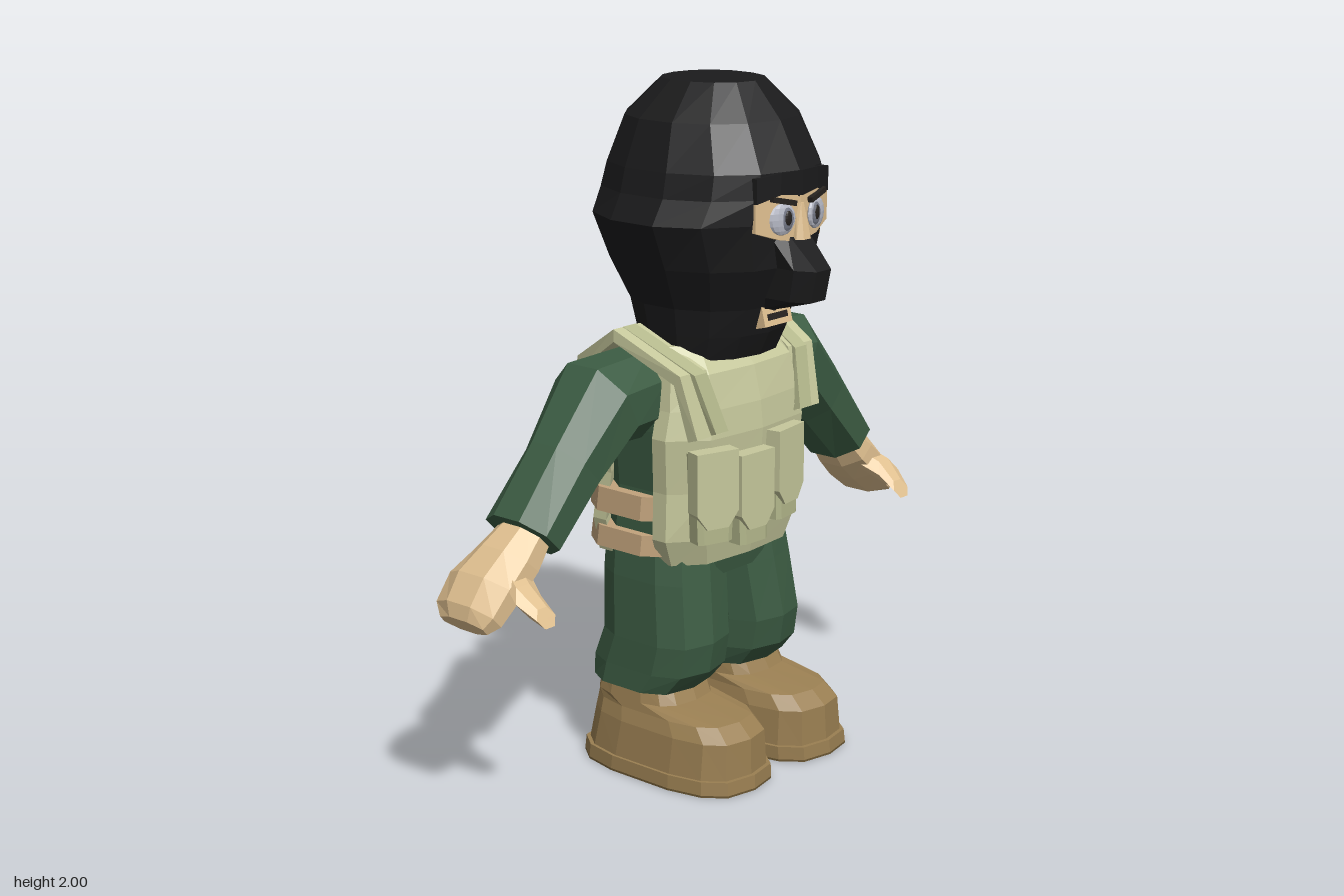
import * as THREE from 'three';

const C = { black: 0x1b1b1c, green: 0x3c5c43, vest: 0xc6c89c, pouch: 0xb4b88c, belt: 0xc2a37c,
  boot: 0x9a7f52, sole: 0x6b5733, skin: 0xe0c090, eye: 0xb9bcc8, dark: 0x26221f };
const mat = (color) => new THREE.MeshStandardMaterial({ color, flatShading: true, side: THREE.DoubleSide });

// Closed skin over equal-sized rings of points, capped at both ends and turned outward.
function loft(rings) {
  const n = rings[0].length, tris = [];
  for (let r = 0; r < rings.length - 1; r++) for (let i = 0; i < n; i++) {
    const j = (i + 1) % n, [a, b] = [rings[r], rings[r + 1]];
    tris.push([a[i], a[j], b[j]], [a[i], b[j], b[i]]);
  }
  const cap = (ring, flip) => {
    const c = [0, 1, 2].map((k) => ring.reduce((s, p) => s + p[k], 0) / n);
    ring.forEach((p, i) => {
      const q = ring[(i + 1) % n];
      tris.push(flip ? [c, q, p] : [c, p, q]);
    });
  };
  cap(rings[0], true);
  cap(rings[rings.length - 1], false);
  const volume = tris.reduce((s, [a, b, c]) => s + a[0] * (b[1] * c[2] - b[2] * c[1])
    + a[1] * (b[2] * c[0] - b[0] * c[2]) + a[2] * (b[0] * c[1] - b[1] * c[0]), 0);
  const pos = tris.flatMap(([a, b, c]) => (volume < 0 ? [a, c, b] : [a, b, c])).flat();
  const g = new THREE.BufferGeometry();
  g.setAttribute('position', new THREE.Float32BufferAttribute(pos, 3));
  g.computeVertexNormals();
  return g;
}

// Level ring: a rounded box of power p between x0..x1 and z0..z1.
function level(y, x0, x1, z0, z1, n = 12, p = 2.6, zc = (z0 + z1) / 2) {
  return Array.from({ length: n }, (_, i) => {
    const t = ((i + 0.5) / n) * Math.PI * 2, c = Math.cos(t), s = Math.sin(t);
    const f = (v) => Math.sign(v) * Math.abs(v) ** (2 / p);
    return [(x0 + x1) / 2 + f(c) * (x1 - x0) / 2, y, zc + f(s) * (s > 0 ? z1 - zc : zc - z0)];
  });
}

// Ring around a limb in the xy plane: centre, tilt, half thickness and half depth.
function limb(side, [x, y, z, tilt, h, d], n = 8) {
  return Array.from({ length: n }, (_, i) => {
    const t = ((i + 0.5) / n) * Math.PI * 2, u = Math.cos(t) * h * 1.06;
    return [side * (x + u * Math.sin(tilt)), y + u * Math.cos(tilt), z + Math.sin(t) * d * 1.06];
  });
}

export function createModel() {
  const model = new THREE.Group();
  const add = (name, geo, color, x = 0, y = 0, z = 0, rx = 0, ry = 0, rz = 0) => {
    const m = new THREE.Mesh(geo, mat(color));
    m.name = name;
    m.position.set(x, y, z);
    m.rotation.set(rx, ry, rz);
    model.add(m);
    return m;
  };
  const box = (name, size, color, ...place) => add(name, new THREE.BoxGeometry(...size), color, ...place);

  // Hood: y, half width, front, back
  add('hood', loft([
    [2, 0.135, 0.14, -0.16], [1.9, 0.24, 0.23, -0.26], [1.77, 0.285, 0.3, -0.315], [1.7, 0.3, 0.3, -0.335],
    [1.63, 0.34, 0.285, -0.34], [1.5, 0.285, 0.275, -0.305], [1.38, 0.23, 0.22, -0.245],
    [1.3, 0.215, 0.195, -0.225], [1.23, 0.2, 0.16, -0.2],
  ].map(([y, w, f, b]) => level(y, 0.005 - w, 0.005 + w, b, f, 14, 2.15, -0.02))), C.black);
  add('muzzle', loft([
    [1.6, 0.085, 0.29], [1.5, 0.062, 0.39], [1.41, 0.062, 0.37], [1.375, 0.05, 0.24],
  ].map(([y, w, f]) => level(y, 0.012 - w, 0.012 + w, 0.12, f, 8, 2.8))), C.black);

  // Face opening: a curved strip wrapped on the hood
  const faceZ = (x) => -0.02 + 0.32 * Math.sqrt(1 - ((x - 0.01) / 0.36) ** 2);
  const strip = (top, bottom, out) => [-0.145, -0.07, 0.012, 0.09, 0.165].map((x, i) => {
    const z = faceZ(x) + out;
    return [[x, bottom[i], z], [x, top[i], z], [x, top[i], 0.2], [x, bottom[i], 0.2]];
  });
  add('face', loft(strip([1.69, 1.71, 1.7, 1.71, 1.69], [1.61, 1.585, 1.57, 1.585, 1.61], 0)), C.skin);
  add('hoodBrow', loft(strip([1.76, 1.77, 1.77, 1.77, 1.76], [1.69, 1.71, 1.7, 1.71, 1.69], 0.004)), C.black);
  add('noseBridge', loft([level(1.68, 0, 0.024, 0.26, 0.306, 8), level(1.58, -0.02, 0.044, 0.26, 0.325, 8)]), C.skin);
  for (const s of [-1, 1]) {
    const x = 0.012 + s * 0.073, z = faceZ(x), ball = new THREE.SphereGeometry(1, 12, 8);
    const eye = add('eye', ball, C.eye, x, 1.642, z, 0, s * 0.2);
    eye.scale.set(0.046, 0.045, 0.012);
    const iris = add('iris', ball, 0x767a88, x - s * 0.008, 1.642, z + 0.007, 0, s * 0.2);
    iris.scale.set(0.027, 0.034, 0.008);
    const pupil = add('pupil', ball, C.dark, x - s * 0.01, 1.645, z + 0.013, 0, s * 0.2);
    pupil.scale.set(0.013, 0.021, 0.005);
    box('eyebrow', [0.085, 0.015, 0.015], C.dark, x, 1.692, z + 0.004, 0, s * 0.2, s * 0.22);
  }
  box('mouthPatch', [0.12, 0.06, 0.04], C.skin, 0.012, 1.35, 0.198, -0.25);
  box('mouth', [0.085, 0.018, 0.01], C.dark, 0.012, 1.35, 0.216, -0.25);
  box('hoodSlit', [0.04, 0.014, 0.05], C.skin, 0.212, 1.56, 0.176, 0, 0.7);

  // Shirt and hips: y, half width, back, front
  add('shirt', loft([
    [0.58, 0.25, -0.23, 0.09], [0.68, 0.275, -0.26, 0.11], [0.85, 0.265, -0.245, 0.11],
    [1.03, 0.28, -0.25, 0.12], [1.18, 0.28, -0.23, 0.09], [1.27, 0.2, -0.19, 0.02],
  ].map(([y, w, b, f]) => level(y, -w, w, b, f, 12, 3))), C.green);

  // Vest panels: y, half width, depth at the middle, depth at the edge
  const panel = (rows) => loft(rows.map(([y, w, mid, edge]) => {
    const k = [-1, -0.68, 0, 0.68, 1], d = [edge, edge + (mid - edge) * 0.82, mid, edge + (mid - edge) * 0.82, edge];
    const t = Math.sign(mid + 0.08) * 0.05;
    return [...k.map((u, i) => [u * w, y, d[i]]), ...k.map((u, i) => [u * w, y, d[i] - t]).reverse()];
  }));
  add('vestFront', panel([[0.64, 0.25, 0.13, 0.05], [0.72, 0.285, 0.15, 0.06], [0.86, 0.28, 0.165, 0.06],
    [1.02, 0.295, 0.178, 0.07], [1.1, 0.275, 0.17, 0.07], [1.2, 0.26, 0.145, 0.06], [1.27, 0.22, 0.08, 0.02]]), C.vest);
  add('vestBack', panel([[0.64, 0.26, -0.285, -0.22], [0.74, 0.285, -0.295, -0.22], [0.88, 0.27, -0.285, -0.21],
    [1.04, 0.285, -0.295, -0.215], [1.15, 0.26, -0.27, -0.21], [1.22, 0.22, -0.235, -0.18]]), C.vest);
  for (const s of [-1, 1]) {
    const strap = (c, w, t) => loft(c.map(([x, y, z]) => {
      const a = Math.atan2(z + 0.09, y - 0.95), dy = Math.cos(a) * t, dz = Math.sin(a) * t;
      return [[x - w, y + dy, z + dz], [x + w, y + dy, z + dz], [x + w, y - dy, z - dz], [x - w, y - dy, z - dz]]
        .map((p) => [s * p[0], p[1], p[2]]);
    }));
    add('shoulderStrap', strap([[0.215, 1.03, 0.15], [0.235, 1.2, 0.11], [0.275, 1.305, -0.09],
      [0.245, 1.2, -0.25], [0.22, 1.03, -0.28]], 0.055, 0.018), C.vest);
    add('strapWebbing', strap([[0.185, 1.04, 0.172], [0.22, 1.2, 0.127], [0.265, 1.31, -0.09],
      [0.23, 1.2, -0.268], [0.205, 1.04, -0.295]], 0.026, 0.014), C.pouch);

    // Arm, hand and thumb
    const tube = (rows) => loft(rows.map((r) => limb(s, r)));
    add('sleeve', tube([[0.24, 1.13, -0.09, 0, 0.125, 0.12], [0.395, 1.125, -0.095, 0.45, 0.13, 0.14],
      [0.54, 0.975, -0.09, 0.75, 0.105, 0.115], [0.69, 0.81, -0.1, 0.78, 0.088, 0.12]]), C.green);
    add('hand', tube([[0.66, 0.83, -0.1, 0.75, 0.055, 0.075], [0.74, 0.75, -0.11, 0.85, 0.072, 0.1],
      [0.81, 0.69, -0.125, 0.85, 0.07, 0.118], [0.875, 0.625, -0.125, 0.75, 0.055, 0.112],
      [0.9, 0.6, -0.12, 0.7, 0.03, 0.085]]), C.skin);
    add('thumb', loft([[0.76, 0.735, -0.07, 0.05, 0.04], [0.8, 0.68, 0.03, 0.048, 0.042], [0.79, 0.64, 0.085, 0.035, 0.028]]
      .map(([x, y, z, w, h]) => Array.from({ length: 6 }, (_, i) => {
        const t = (i * Math.PI) / 3;
        return [s * (x + Math.cos(t) * w), y + Math.sin(t) * h, z - Math.sin(t) * h * 0.6];
      }))), C.skin);

    // Trouser leg: y, inner x, outer x, back, front
    const stack = (rows, n, p) => loft(rows.map(([y, a, b, z0, z1]) =>
      level(y, Math.min(s * a, s * b), Math.max(s * a, s * b), z0, z1, n, p)));
    add('trouserLeg', stack([[0.69, 0, 0.265, -0.245, 0.09], [0.58, 0.005, 0.28, -0.245, 0.105],
      [0.4, 0.022, 0.295, -0.235, 0.13], [0.31, 0.02, 0.3, -0.27, 0.115], [0.25, 0.025, 0.305, -0.265, 0.06]], 10, 3), C.green);

    // Boot and sole
    add('boot', stack([[0.04, 0.015, 0.33, -0.285, 0.285], [0.15, 0.025, 0.315, -0.265, 0.28], [0.19, 0.035, 0.3, -0.26, 0.235],
      [0.215, 0.035, 0.295, -0.255, 0.07], [0.265, 0.035, 0.285, -0.24, 0.045]], 14, 3), C.boot);
    add('sole', stack([[0.006, 0.005, 0.342, -0.3, 0.3], [0.045, 0.005, 0.338, -0.297, 0.297]], 14, 3), C.boot);
    add('soleBottom', stack([[0, 0.005, 0.342, -0.3, 0.3], [0.006, 0.005, 0.342, -0.3, 0.3]], 14, 3), C.sole);
  }

  // Side belts
  for (const [y0, y1] of [[0.665, 0.725], [0.77, 0.84]]) {
    add('belt', loft([level(y0, -0.305, 0.305, -0.305, 0.085, 12, 3.2), level(y1, -0.298, 0.298, -0.3, 0.085, 12, 3.2)]), C.belt);
  }

  // Chest pouches with flaps
  for (const [x, y, z, ry] of [[-0.208, 0.86, 0.165, -0.3], [-0.06, 0.83, 0.178, -0.05], [0.09, 0.87, 0.172, 0.15]]) {
    const h = 0.13;
    add('pouch', loft([level(-h, -0.058, 0.058, -0.035, 0.028, 8, 5), level(h, -0.068, 0.068, -0.035, 0.028, 8, 5)]),
      C.pouch, x, y, z, 0, ry);
    const flap = new THREE.Shape([[-0.068, h + 0.008], [-0.068, -0.04], [-0.035, -0.085], [0.035, -0.085],
      [0.068, -0.04], [0.068, h + 0.008]].map((p) => new THREE.Vector2(...p)));
    add('pouchFlap', new THREE.ExtrudeGeometry(flap, { depth: 0.05, bevelEnabled: false }), C.vest, x, y, z, 0, ry)
      .geometry.translate(0, 0, -0.014);
  }

  // Back radio in its holder
  add('radio', loft([[0.77, -0.3, -0.385], [0.98, -0.29, -0.375], [1.05, -0.28, -0.39], [1.17, -0.265, -0.375], [1.21, -0.265, -0.35]]
    .map(([y, f, b]) => level(y, -0.058, 0.11, b, f + 0.03, 8, 5))), C.black);
  add('radioHolder', loft([level(0.86, -0.066, 0.118, -0.388, -0.27, 8, 5), level(0.99, -0.066, 0.118, -0.382, -0.27, 8, 5)]), C.vest);
  box('smallPouch', [0.06, 0.13, 0.05], C.pouch, -0.125, 0.92, -0.3);
  return model;
}
